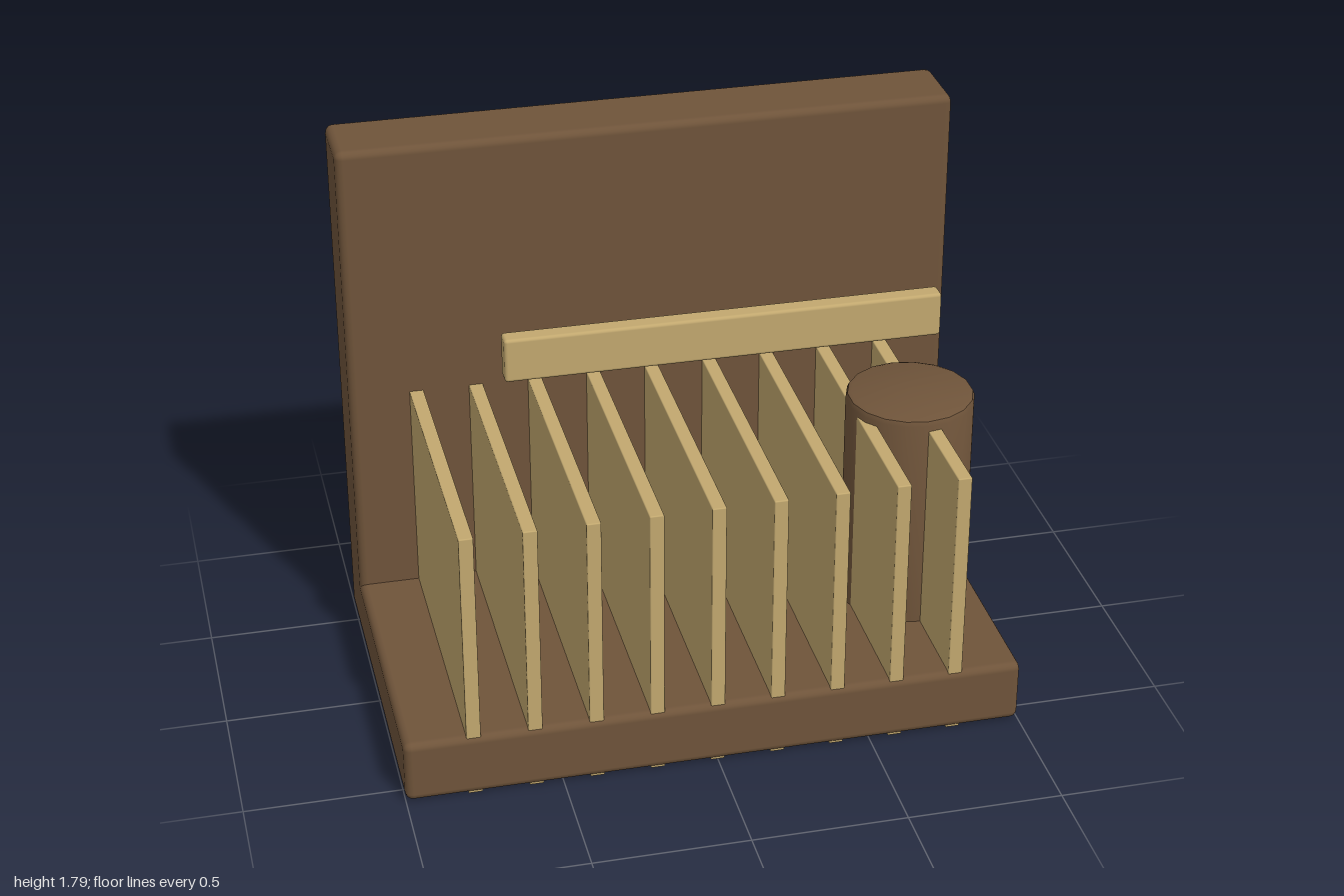
import * as THREE from 'three';
import { RoundedBoxGeometry } from 'three/addons/geometries/RoundedBoxGeometry.js';
import { toCreasedNormals } from 'three/addons/utils/BufferGeometryUtils.js';

const brown = new THREE.MeshStandardMaterial({ color: 0x6f543a });
brown.name = 'dark wood';
const tan = new THREE.MeshStandardMaterial({ color: 0xc2a86f });
tan.name = 'pale wood';

// Softly rounded block given by its min and max corners
function block(name, material, min, max, radius) {
  const size = max.map((v, i) => v - min[i]);
  const mesh = new THREE.Mesh(new RoundedBoxGeometry(...size, 2, radius), material);
  mesh.position.set(...max.map((v, i) => (v + min[i]) / 2));
  mesh.name = name;
  return mesh;
}

export function createModel() {
  const model = new THREE.Group();
  model.name = 'slattedRack';

  // Base slab and upright back
  model.add(block('base', brown, [-1, 0.003, -0.61], [1, 0.215, 0.575], 0.025));
  model.add(block('backPanel', brown, [-1, 0.003, -0.625], [1, 1.79, -0.375], 0.025));

  // Row of upright dividers, let through the base
  const dividers = new THREE.Group();
  dividers.name = 'dividers';
  for (let i = -4; i <= 4; i++) {
    dividers.add(block('divider', tan, [i * 0.195 - 0.023, 0, -0.39], [i * 0.195 + 0.023, 0.93, 0.567], 0.004));
  }
  model.add(dividers);

  // Round post with an eased top edge
  const profile = [[0, 0.19], [0.209, 0.19], [0.209, 0.948], [0.203, 0.963], [0.19, 0.968], [0, 0.968]]
    .map(([r, y]) => new THREE.Vector2(r, y));
  const post = new THREE.Mesh(toCreasedNormals(new THREE.LatheGeometry(profile, 18), 0.6), brown);
  post.position.set(0.758, 0, 0.052);
  post.name = 'post';
  model.add(post);

  // Front rail
  model.add(block('frontRail', tan, [-0.655, 1.475, 0.567], [0.655, 1.612, 0.625], 0.01));

  return model;
}
